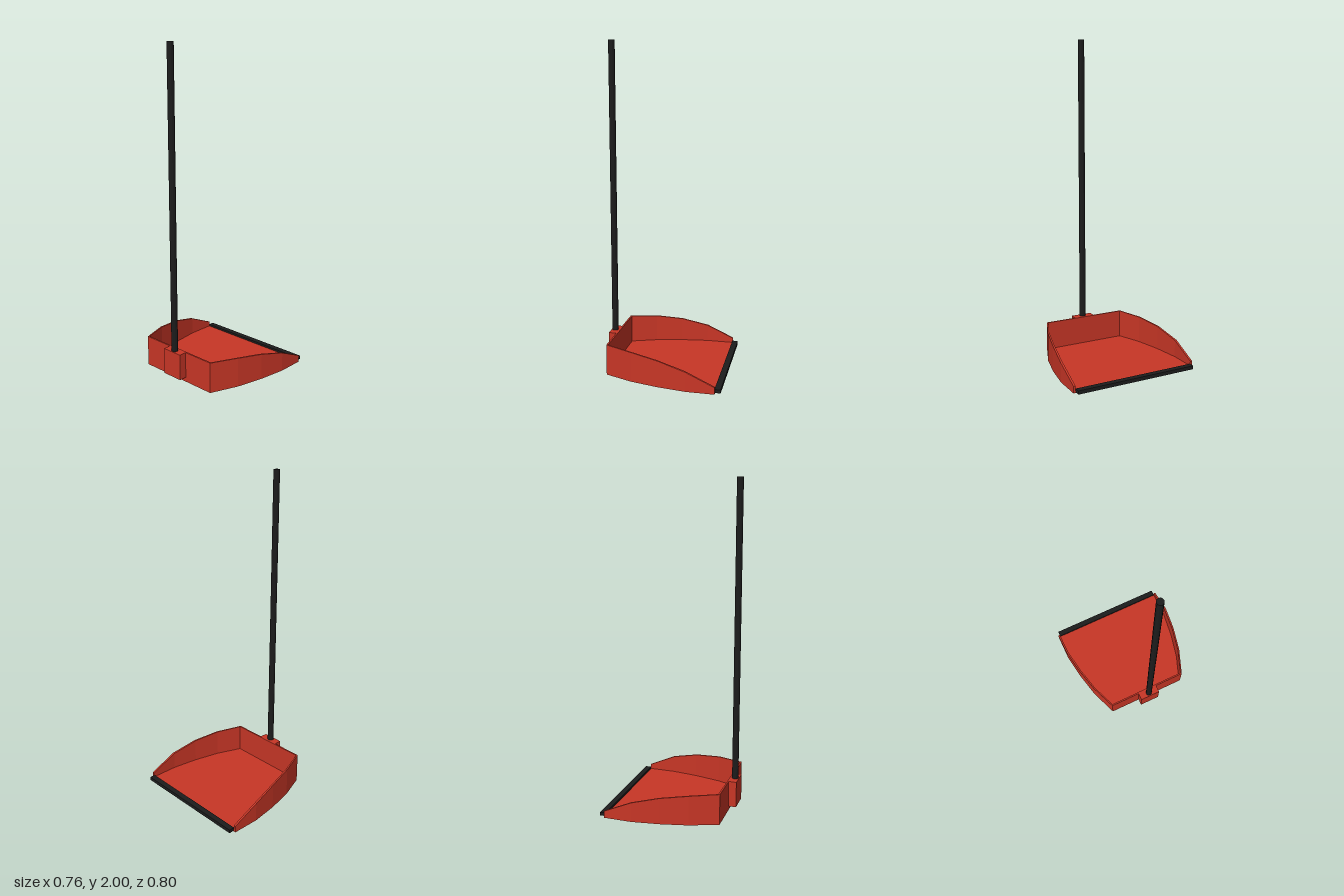
import * as THREE from 'three';

const red = new THREE.MeshStandardMaterial({ color: 0xc83626, flatShading: true });
const black = new THREE.MeshStandardMaterial({ color: 0x1c1c1c, flatShading: true });

// Stations of one side wall, open end to back: x, outer half width, inner x, inner half width, height
const SIDE = [
  [0.348, 0.402, 0.348, 0.389, 0.042],
  [0.175, 0.402, 0.175, 0.389, 0.12],
  [0.005, 0.377, 0.005, 0.366, 0.162],
  [-0.165, 0.337, -0.165, 0.327, 0.183],
  [-0.335, 0.271, -0.325, 0.266, 0.19],
];
// Full U-shaped run: left side, then the right side mirrored
const RUN = [
  ...SIDE.map((s) => [...s, 1]),
  ...[...SIDE].reverse().map((s) => [...s, -1]),
];

// Rim wall: a four-cornered section carried round the run
function wallGeometry() {
  const rings = RUN.map(([xo, zo, xi, zi, h, m]) => [
    [xo, 0, zo * m], [xo, h, zo * m], [xi, h, zi * m], [xi, 0, zi * m],
  ]);
  const pos = [];
  const quad = (a, b, c, d) => pos.push(...a, ...b, ...c, ...a, ...c, ...d);
  for (let i = 0; i < rings.length - 1; i++) {
    const p = rings[i], q = rings[i + 1];
    for (let k = 0; k < 4; k++) {
      const n = (k + 1) % 4;
      quad(q[k], p[k], p[n], q[n]);
    }
  }
  const s = rings[0], e = rings[rings.length - 1];
  quad(s[0], s[3], s[2], s[1]);
  quad(e[0], e[1], e[2], e[3]);
  const g = new THREE.BufferGeometry();
  g.setAttribute('position', new THREE.Float32BufferAttribute(pos, 3));
  g.computeVertexNormals();
  return g;
}

// Floor plate inside the wall
function floorGeometry() {
  const outline = RUN.map(([, , x, z, , m]) => new THREE.Vector2(x, z * m));
  const g = new THREE.ExtrudeGeometry(new THREE.Shape(outline), { depth: 0.012, bevelEnabled: false });
  return g.rotateX(-Math.PI / 2);
}

// Rubber lip along the open edge, slightly tapered underneath
function lipGeometry() {
  const profile = new THREE.Shape([
    new THREE.Vector2(0.345, 0.006), new THREE.Vector2(0.381, 0.003),
    new THREE.Vector2(0.381, 0.025), new THREE.Vector2(0.345, 0.025),
  ]);
  const g = new THREE.ExtrudeGeometry(profile, { depth: 0.776, bevelEnabled: false });
  return g.translate(0, 0, -0.388);
}

export function createModel() {
  const group = new THREE.Group();
  const add = (name, geometry, material, x = 0, y = 0, z = 0) => {
    const mesh = new THREE.Mesh(geometry, material);
    mesh.name = name;
    mesh.position.set(x, y, z);
    group.add(mesh);
  };

  add('panWall', wallGeometry(), red);
  add('panFloor', floorGeometry(), red);
  add('rubberLip', lipGeometry(), black);
  // Socket block on the back and the upright handle standing in it
  add('handleSocket', new THREE.BoxGeometry(0.05, 0.162, 0.136), red, -0.358, 0.109, 0);
  add('handle', new THREE.CylinderGeometry(0.02, 0.02, 1.84, 12), black, -0.359, 1.08, 0);
  return group;
}
